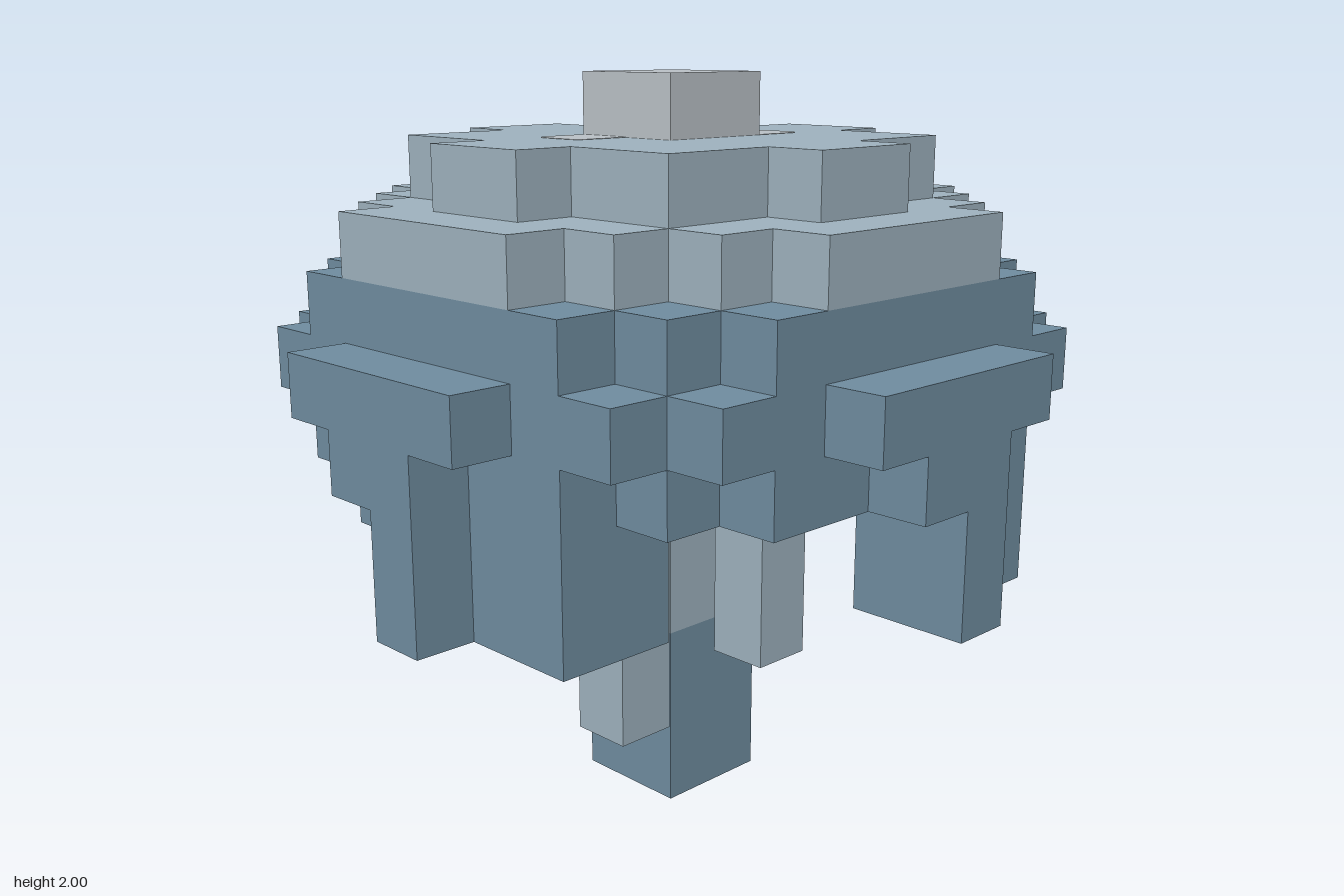
import * as THREE from 'three';

const U = 1 / 6; // size of one block

export function createModel() {
  const model = new THREE.Group();
  model.name = 'blockJellyfish';

  const mat = (name, color) => {
    const m = new THREE.MeshStandardMaterial({ color });
    m.name = name;
    return m;
  };
  const dark = mat('slate blue', 0x708da0);
  const light = mat('pale blue', 0x9fb3bf);
  const pale = mat('light grey', 0xbbc2c7);

  const add = (name, geometry, material, parent = model) => {
    const mesh = new THREE.Mesh(geometry, material);
    mesh.name = name;
    parent.add(mesh);
    return mesh;
  };

  // Box from block coordinates
  const box = (name, material, x0, x1, y0, y1, z0, z1) => {
    const g = new THREE.BoxGeometry((x1 - x0) * U, (y1 - y0) * U, (z1 - z0) * U);
    g.translate((x0 + x1) * U / 2, (y0 + y1) * U / 2, (z0 + z1) * U / 2);
    return add(name, g, material);
  };

  // Stepped outline: rows[i] is the half width for i < |z| < i + 1
  const outline = (rows) => {
    const quarter = [];
    rows.forEach((w, i) => {
      if (i === 0 || rows[i - 1] !== w) quarter.push([w, i]);
      if (rows[i + 1] !== w) quarter.push([w, i + 1]);
    });
    const half = [...quarter.slice(1), ...quarter.slice(1).reverse().map(([x, z]) => [-x, z])];
    const full = [...half, ...half.map(([x, z]) => [-x, -z])];
    return full.map(([x, z]) => new THREE.Vector2(x * U, z * U));
  };

  // Upright extrusion of a plan shape between two heights
  const upright = (shape, y0, y1) => {
    const g = new THREE.ExtrudeGeometry(shape, { depth: (y1 - y0) * U, bevelEnabled: false, curveSegments: 6 });
    g.rotateX(-Math.PI / 2);
    g.translate(0, y0 * U, 0);
    return g;
  };

  const layer = (name, material, rows, y0, y1, hole) => {
    const shape = new THREE.Shape(outline(rows));
    if (hole) shape.holes.push(new THREE.Path(outline(hole)));
    return add(name, upright(shape, y0, y1), material);
  };

  // Hollow bell wall, in three stepped rings
  const hollow = [4, 4, 3, 2];
  layer('bellLowerRing', dark, [6, 5, 5, 4, 3, 1], 6, 7, hollow);
  layer('bellMiddleRing', dark, [6, 6, 5, 5, 4, 2], 7, 8, hollow);
  layer('bellUpperRing', dark, [5, 5, 5, 4, 3], 8, 9, hollow);

  // Cap on the bell
  layer('capLower', light, [5, 5, 4, 3, 2], 9, 10);
  layer('capUpper', light, [4, 3, 3, 1], 10, 11);
  box('topKnob', pale, -1, 1, 11, 12, -1, 1);

  // Rounded pale spots beside the knob
  const spot = new THREE.Shape();
  const r = 0.25 * U;
  spot.moveTo(U, 0);
  spot.lineTo(2 * U - r, 0);
  spot.quadraticCurveTo(2 * U, 0, 2 * U, -r);
  spot.lineTo(2 * U, -U + r);
  spot.quadraticCurveTo(2 * U, -U, 2 * U - r, -U);
  spot.lineTo(U, -U);
  for (const turn of [0, Math.PI]) {
    add('capSpot', upright(spot, 11, 11.01), pale).rotation.y = turn;
  }

  // Four stepped skirt flaps, one per side
  const flapPlan = [[0, 6], [1, 6], [1, 5], [3, 5], [3, 3], [2, 3], [2, 4], [0, 4]];
  const flapShape = new THREE.Shape(flapPlan.map(([x, z]) => new THREE.Vector2(x * U, -z * U)));
  const flapGeometry = upright(flapShape, 4, 6);
  for (let i = 0; i < 4; i++) {
    add('skirtFlap', flapGeometry, dark).rotation.y = i * Math.PI / 2;
  }

  // Central stem with a dark foot
  box('stemFoot', dark, -1, 1, 0, 3, -1, 1);
  box('stemUpper', light, -1, 1, 3, 9, -1, 1);

  // Hanging tentacles: x, z and lower end
  for (const [x, z, y] of [[2, -2, 3], [-1, 2, 3], [-3, 1, 2], [0, -3, 2]]) {
    box('tentacle', light, x, x + 1, y, 9, z, z + 1);
  }

  return model;
}
